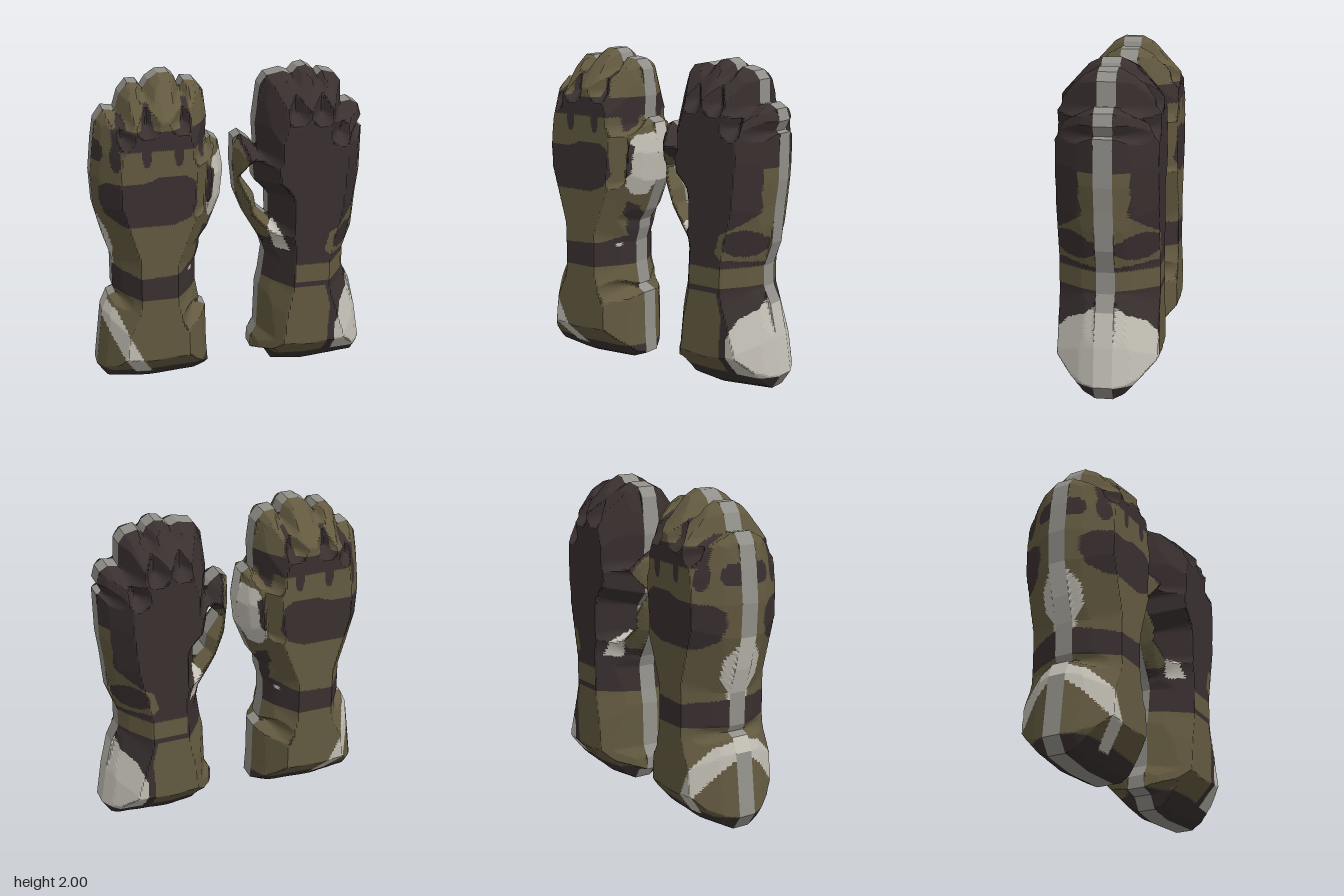
import * as THREE from 'three';

const material = (name, color) => Object.assign(new THREE.MeshStandardMaterial({ color }), { name });
const EDGE = 0.055, DEPTH = 0.3, STEP = 0.0112, INSET = 0.15, SQUASH = 0.66;

// ---- 2D helpers ----
const inside = (poly, x, y) => {
  let hit = false;
  for (let i = 0, j = poly.length - 1; i < poly.length; j = i++) {
    const [ax, ay] = poly[i], [bx, by] = poly[j];
    if ((ay > y) !== (by > y) && x < ((bx - ax) * (y - ay)) / (by - ay) + ax) hit = !hit;
  }
  return hit;
};
const nearestOnSegment = ([ax, ay], [bx, by], x, y) => {
  const dx = bx - ax, dy = by - ay;
  const t = Math.max(0, Math.min(1, ((x - ax) * dx + (y - ay) * dy) / (dx * dx + dy * dy)));
  const px = ax + t * dx, py = ay + t * dy;
  return { px, py, d: Math.hypot(x - px, y - py) };
};
const nearest = (loops, x, y) => {
  let best = { d: Infinity };
  for (const loop of loops) loop.forEach((p, i) => {
    const n = nearestOnSegment(p, loop[(i + 1) % loop.length], x, y);
    if (n.d < best.d) best = n;
  });
  return best;
};
const oval = (cx, cy, rx, ry) => Array.from({ length: 20 }, (_, i) =>
  [cx + rx * Math.cos(i * Math.PI / 10), cy + ry * Math.sin(i * Math.PI / 10)]);
const rect = (x0, y0, x1, y1) => [[x0, y0], [x1, y0], [x1, y1], [x0, y1]];

// Padded glove: a puffed panel on each side of a flat edge band
function buildGlove({ name, outline, hull, holes, creases, base, patches, light, band }) {
  const loops = [outline, ...holes];
  const flatHull = hull.map(([x, y]) => [x, y * SQUASH]);
  const isIn = (x, y) => inside(outline, x, y) && !holes.some(h => inside(h, x, y));
  const colourAt = (x, y) => {
    let m = base;
    for (const [mat, poly] of patches) if (inside(poly, x, y)) m = mat;
    return m;
  };
  // Height of the panel over the outline
  const vertex = (x, y) => {
    const n = nearest(loops, x, y);
    if (!isIn(x, y)) return { p: [n.px, n.py, EDGE], in: false };
    const hullD = inside(flatHull, x, y * SQUASH) ? nearest([flatHull], x, y * SQUASH).d : 0;
    const t = Math.min(1, hullD / INSET);
    const rise = t < 0.15 ? t * 1.8 : 0.27 + (t - 0.15) * 0.73 / 0.85;
    let z = Math.min(EDGE + (DEPTH - EDGE) * rise, EDGE + 2.2 * n.d);
    for (const [a, b] of creases) z = Math.min(z, 0.2 + 1.3 * nearestOnSegment(a, b, x, y).d);
    return { p: [x, y, Math.max(z, EDGE)], in: true };
  };
  const buckets = new Map();
  const put = (mat, ...corners) => {
    if (!buckets.has(mat)) buckets.set(mat, []);
    for (const c of corners) buckets.get(mat).push(...c);
  };
  const flip = ([x, y, z]) => [x, y, -z];

  const xs = outline.map(p => p[0]);
  const x0 = Math.min(...xs) - STEP / 2, cols = Math.ceil((Math.max(...xs) - x0) / STEP) + 1;
  const rows = Math.ceil(2 / STEP) + 2;
  const grid = Array.from({ length: rows + 1 }, (_, r) =>
    Array.from({ length: cols + 1 }, (_, c) => vertex(x0 + c * STEP, (r - 0.5) * STEP)));
  for (let r = 0; r < rows; r++) for (let c = 0; c < cols; c++) {
    const q = [grid[r][c], grid[r][c + 1], grid[r + 1][c + 1], grid[r + 1][c]];
    if (!q.some(v => v.in)) continue;
    for (const tri of [[q[0], q[1], q[2]], [q[0], q[2], q[3]]]) {
      if (!tri.some(v => v.in)) continue;
      const [a, b, d] = tri.map(v => v.p);
      const m = colourAt((a[0] + b[0] + d[0]) / 3, (a[1] + b[1] + d[1]) / 3);
      put(m, a, b, d);
      put(m, flip(a), flip(d), flip(b));
    }
  }
  // Edge band, running counter-clockwise round the outline and clockwise in holes
  for (const loop of loops) loop.forEach((p, i) => {
    const q = loop[(i + 1) % loop.length];
    const mid = colourAt((p[0] + q[0]) / 2, (p[1] + q[1]) / 2);
    const a = [...p, EDGE], b = [...q, EDGE];
    put(mid === light ? light : band, a, flip(a), flip(b), a, flip(b), b);
  });

  const glove = new THREE.Group();
  glove.name = name;
  for (const [mat, pos] of buckets) {
    const g = new THREE.BufferGeometry();
    g.setAttribute('position', new THREE.Float32BufferAttribute(pos, 3));
    g.computeVertexNormals();
    const mesh = new THREE.Mesh(g, mat);
    mesh.name = mat.name + 'Panels';
    glove.add(mesh);
  }
  return glove;
}

export function createModel() {
  const olive = material('oliveFabric', 0x635a40);
  const dark = material('darkLeather', 0x3a3030);
  const light = material('lightFabric', 0xc3bfb5);
  const band = material('greyEdge', 0x92908a);

  // Glove showing the back of the hand
  const back = [];
  const paintBack = (m, poly) => back.push([m, poly]);
  paintBack(dark, rect(-1, -0.1, 0, 0.125));
  paintBack(light, [[-0.81, 0.58], [-0.74, 0.53], [-0.53, 0.09], [-0.63, 0.09], [-0.83, 0.47]]);
  paintBack(light, [[-0.84, 1.16], [-0.78, 1.06], [-0.75, 0.95], [-0.74, 0.8], [-0.9, 0.85]]);
  paintBack(dark, [[-0.8, 0.645], [-0.2, 0.645], [-0.18, 0.85], [-0.27, 0.83], [-0.35, 0.8], [-0.6, 0.79], [-0.8, 0.82]]);
  paintBack(dark, [[-0.25, 0.8], [-0.23, 1.0], [-0.2, 1.07], [-0.16, 1.04], [-0.18, 0.8]]);
  paintBack(light, rect(-0.295, 0.765, -0.27, 0.79));
  paintBack(dark, [[-0.82, 1.36], [-0.77, 1.4], [-0.55, 1.41], [-0.48, 1.44], [-0.32, 1.44], [-0.26, 1.4],
    [-0.25, 1.25], [-0.3, 1.17], [-0.4, 1.13], [-0.7, 1.13], [-0.79, 1.18], [-0.82, 1.26]]);
  paintBack(dark, rect(-0.74, 1.6, -0.15, 1.72));
  for (const [x, y] of [[-0.73, 1.47], [-0.55, 1.5], [-0.36, 1.5], [-0.2, 1.51]])
    paintBack(dark, oval(x, y + 0.08, 0.028, 0.08));
  for (const [x, y] of [[-0.69, 1.78], [-0.54, 1.86], [-0.31, 1.87]])
    paintBack(dark, [[x - 0.04, 1.7], [x + 0.04, 1.7], [x + 0.02, y], [x - 0.01, y]]);
  paintBack(dark, oval(-0.83, 1.57, 0.04, 0.065));
  paintBack(light, [[-0.14, 1.49], [-0.06, 1.51], [-0.03, 1.4], [-0.06, 1.22], [-0.12, 1.11], [-0.17, 1.12], [-0.19, 1.2], [-0.17, 1.4]]);
  paintBack(dark, [[-0.17, 1.46], [-0.13, 1.42], [-0.15, 1.25], [-0.19, 1.22], [-0.18, 1.35]]);

  const backGlove = buildGlove({
    name: 'backOfHandGlove', base: olive, patches: back, light, band, holes: [],
    outline: [[-0.8, 0.03], [-0.55, 0.005], [-0.25, 0.02], [-0.15, 0.06], [-0.16, 0.2], [-0.165, 0.46],
      [-0.24, 0.5], [-0.205, 0.51], [-0.23, 0.65], [-0.23, 0.79], [-0.205, 0.87], [-0.2, 0.93], [-0.15, 1.0],
      [-0.07, 1.2], [-0.05, 1.38], [-0.08, 1.56], [-0.13, 1.59], [-0.16, 1.56], [-0.15, 1.72], [-0.17, 1.88],
      [-0.22, 1.94], [-0.29, 1.95], [-0.315, 1.9], [-0.34, 1.97], [-0.375, 2.0], [-0.44, 2.0], [-0.5, 1.96],
      [-0.535, 1.91], [-0.56, 1.95], [-0.62, 1.95], [-0.67, 1.89], [-0.7, 1.79], [-0.77, 1.8], [-0.82, 1.73],
      [-0.84, 1.6], [-0.86, 1.4], [-0.85, 1.2], [-0.8, 1.0], [-0.75, 0.85], [-0.75, 0.65], [-0.73, 0.61],
      [-0.78, 0.59], [-0.82, 0.5], [-0.85, 0.25], [-0.865, 0.12]],
    hull: [[-0.8, 0.03], [-0.55, 0], [-0.25, 0.02], [-0.15, 0.06], [-0.165, 0.46], [-0.23, 0.65], [-0.23, 0.79],
      [-0.15, 1.0], [-0.07, 1.2], [-0.05, 1.4], [-0.1, 1.6], [-0.15, 1.75], [-0.2, 1.94], [-0.38, 2.0],
      [-0.46, 2.0], [-0.66, 1.93], [-0.8, 1.78], [-0.84, 1.6], [-0.86, 1.4], [-0.85, 1.2], [-0.75, 0.85],
      [-0.75, 0.65], [-0.82, 0.5], [-0.865, 0.12]],
    creases: [[[-0.315, 1.9], [-0.33, 1.76]], [[-0.535, 1.91], [-0.54, 1.75]], [[-0.7, 1.79], [-0.69, 1.68]],
      [[-0.16, 1.56], [-0.2, 1.2]]],
  });

  // Glove showing the palm
  const palm = [];
  const paintPalm = (m, poly) => palm.push([m, poly]);
  paintPalm(olive, [[0.1, 0.125], [0.57, 0.125], [0.585, 0.5], [0.55, 0.635], [0.1, 0.635]]);
  paintPalm(olive, rect(0.36, 0.665, 0.8, 0.785));
  paintPalm(light, [[0.63, 0.115], [0.62, 0.35], [0.67, 0.48], [0.74, 0.53], [0.77, 0.64], [0.95, 0.62], [0.95, 0.115]]);
  paintPalm(olive, [[0.9, 1.38], [0.78, 1.38], [0.76, 1.12], [0.68, 1.05], [0.57, 0.99], [0.54, 0.88], [0.58, 0.84],
    [0.68, 0.82], [0.9, 0.8]]);
  paintPalm(dark, oval(0.68, 0.935, 0.09, 0.085));
  paintPalm(olive, [[-0.02, 1.58], [0.04, 1.57], [0.08, 1.45], [0.09, 1.34], [0.15, 1.2], [0.24, 1.04], [0.22, 0.92],
    [0.1, 0.92], [-0.02, 1.2]]);
  paintPalm(light, [[0.21, 0.99], [0.26, 1.03], [0.33, 0.87], [0.26, 0.86]]);

  const palmGlove = buildGlove({
    name: 'palmGlove', base: dark, patches: palm, light, band,
    outline: [[0.27, 0.02], [0.45, 0], [0.8, 0.03], [0.86, 0.12], [0.825, 0.35], [0.78, 0.55], [0.73, 0.65],
      [0.73, 0.78], [0.78, 0.92], [0.8, 1.15], [0.82, 1.3], [0.825, 1.58], [0.79, 1.59], [0.82, 1.65], [0.8, 1.72],
      [0.75, 1.75], [0.685, 1.74], [0.68, 1.88], [0.64, 1.93], [0.56, 1.95], [0.53, 1.92], [0.51, 1.96], [0.46, 1.99],
      [0.41, 1.98], [0.37, 1.94], [0.32, 1.96], [0.22, 1.94], [0.18, 1.88], [0.15, 1.65], [0.16, 1.49], [0.12, 1.54],
      [0.06, 1.585], [0.015, 1.56], [0.01, 1.4], [0.03, 1.2], [0.09, 1.05], [0.2, 0.86], [0.22, 0.79], [0.2, 0.64],
      [0.18, 0.55], [0.17, 0.27], [0.13, 0.2], [0.13, 0.12], [0.22, 0.1]],
    hull: [[0.2, 0.03], [0.45, 0], [0.8, 0.03], [0.86, 0.12], [0.825, 0.35], [0.73, 0.65], [0.73, 0.78],
      [0.8, 1.1], [0.825, 1.4], [0.82, 1.65], [0.77, 1.78], [0.64, 1.95], [0.46, 2], [0.22, 1.95], [0.15, 1.72],
      [0.06, 1.59], [0.01, 1.5], [0.02, 1.25], [0.09, 1.05], [0.21, 0.86], [0.2, 0.64], [0.17, 0.5], [0.13, 0.12]],
    holes: [[[0.14, 1.39], [0.15, 1.28], [0.235, 1.19], [0.24, 1.03], [0.16, 1.1], [0.145, 1.19], [0.06, 1.31]]],
    creases: [[[0.37, 1.94], [0.36, 1.76]], [[0.53, 1.92], [0.52, 1.75]], [[0.685, 1.74], [0.64, 1.62]],
      [[0.16, 1.49], [0.15, 1.39]]],
  });

  const model = new THREE.Group();
  model.name = 'glovePair';
  model.add(backGlove, palmGlove);
  return model;
}
